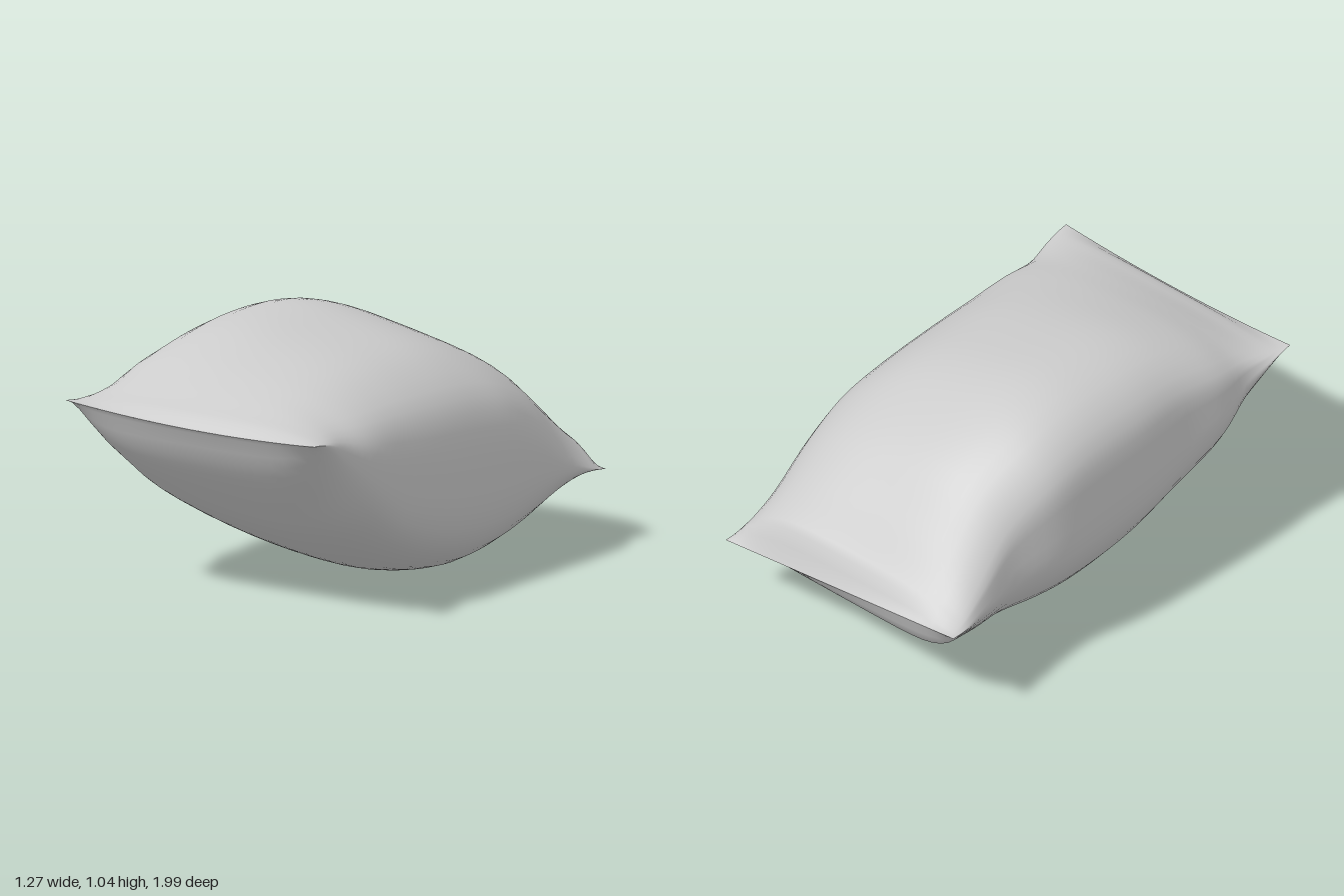
import * as THREE from 'three';

const { lerp, clamp } = THREE.MathUtils;

// Lopsided middle cross-section, counter-clockwise seen from the front
const OUTLINE = [
  [0.62, 0.42], [0.61, 0.6], [0.56, 0.73], [0.47, 0.82], [0.32, 0.91], [0, 1.0], [-0.2, 1.035],
  [-0.35, 1.03], [-0.49, 0.98], [-0.6, 0.86], [-0.63, 0.68], [-0.64, 0.45], [-0.61, 0.36],
  [-0.51, 0.22], [-0.28, 0.08], [0.06, 0.005], [0.26, 0], [0.455, 0.05], [0.575, 0.15], [0.61, 0.25],
];

// Stations from back seam to front seam: z, x min, x max, y min, y max, fullness (0 pinched, 1 round)
const STATIONS = [
  [-0.985, -0.59, 0.635, 0.29, 0.43, 0],
  [-0.9, -0.585, 0.625, 0.26, 0.51, 0.15],
  [-0.76, -0.565, 0.61, 0.175, 0.67, 0.45],
  [-0.58, -0.555, 0.61, 0.085, 0.845, 0.82],
  [-0.36, -0.605, 0.62, 0.022, 0.97, 1],
  [-0.14, -0.62, 0.615, 0, 1.03, 1],
  [0.12, -0.63, 0.61, 0.045, 1.035, 1],
  [0.36, -0.625, 0.6, 0.14, 1.01, 1],
  [0.58, -0.64, 0.595, 0.275, 0.95, 0.86],
  [0.74, -0.625, 0.56, 0.42, 0.885, 0.58],
  [0.87, -0.637, 0.567, 0.565, 0.825, 0.25],
  [0.985, -0.635, 0.572, 0.735, 0.785, 0],
];

const SIDES = 56, RINGS = 48;

// Rescale a list of numbers to run exactly from lo to hi
function fit(values, lo, hi) {
  const min = Math.min(...values), max = Math.max(...values);
  return values.map(v => lo + (v - min) / (max - min) * (hi - lo));
}

function sackGeometry() {
  const loop = new THREE.CatmullRomCurve3(
    OUTLINE.map(([x, y]) => new THREE.Vector3(x, y, 0)), true).getSpacedPoints(SIDES).slice(0, SIDES);
  const us = fit(loop.map(p => p.x), -1, 1);
  const vs = fit(loop.map(p => p.y), 0, 1);
  const leftmost = us.indexOf(-1);
  const columns = [1, 2, 3, 4, 5].map(k =>
    new THREE.SplineCurve(STATIONS.map(s => new THREE.Vector2(s[0], s[k]))));

  const positions = [], index = [];
  for (let i = 0; i <= RINGS; i++) {
    const t = i / RINGS;
    const z = columns[0].getPoint(t).x;
    const [x0, x1, y0, y1, full] = columns.map(c => c.getPoint(t).y);
    const w = clamp(full, 0, 1);
    const thickness = clamp((0.985 - Math.abs(z)) / 0.05, 0, 1);
    // Seam height at each corner and its sag in the middle
    const [left, right, sag] = z > 0 ? [0.79, 0.768, 0.024] : [0.43, 0.29, 0];

    // Blend the round section with a lens that closes on the seam line
    us.forEach((u, j) => {
      const seam = lerp(left, right, (u + 1) / 2) - sag * (1 - u * u);
      const upper = j <= leftmost;
      const bulge = (1 - Math.abs(u) ** (upper ? 4 : 6)) * thickness;
      const lens = upper
        ? seam + Math.max(0, y1 - seam) * bulge
        : seam - Math.max(0, seam - y0) * bulge;
      positions.push(
        lerp(x0, x1, (u + 1) / 2),
        lerp(lens, lerp(y0, y1, vs[j]), w),
        z + 0.012 * u * (1 - w));
    });
  }

  // Skin between neighbouring rings
  for (let i = 0; i < RINGS; i++) {
    for (let j = 0; j < SIDES; j++) {
      const k = (j + 1) % SIDES;
      const a = i * SIDES + j, b = i * SIDES + k, c = a + SIDES, d = b + SIDES;
      index.push(a, b, c, b, d, c);
    }
  }

  const geometry = new THREE.BufferGeometry();
  geometry.setAttribute('position', new THREE.Float32BufferAttribute(positions, 3));
  geometry.setIndex(index);
  geometry.computeVertexNormals();
  return geometry;
}

export function createModel() {
  const group = new THREE.Group();
  group.name = 'stuffedSack';
  const sack = new THREE.Mesh(sackGeometry(),
    new THREE.MeshStandardMaterial({ color: 0xcccccc, side: THREE.DoubleSide }));
  sack.name = 'sackBody';
  group.add(sack);
  return group;
}
